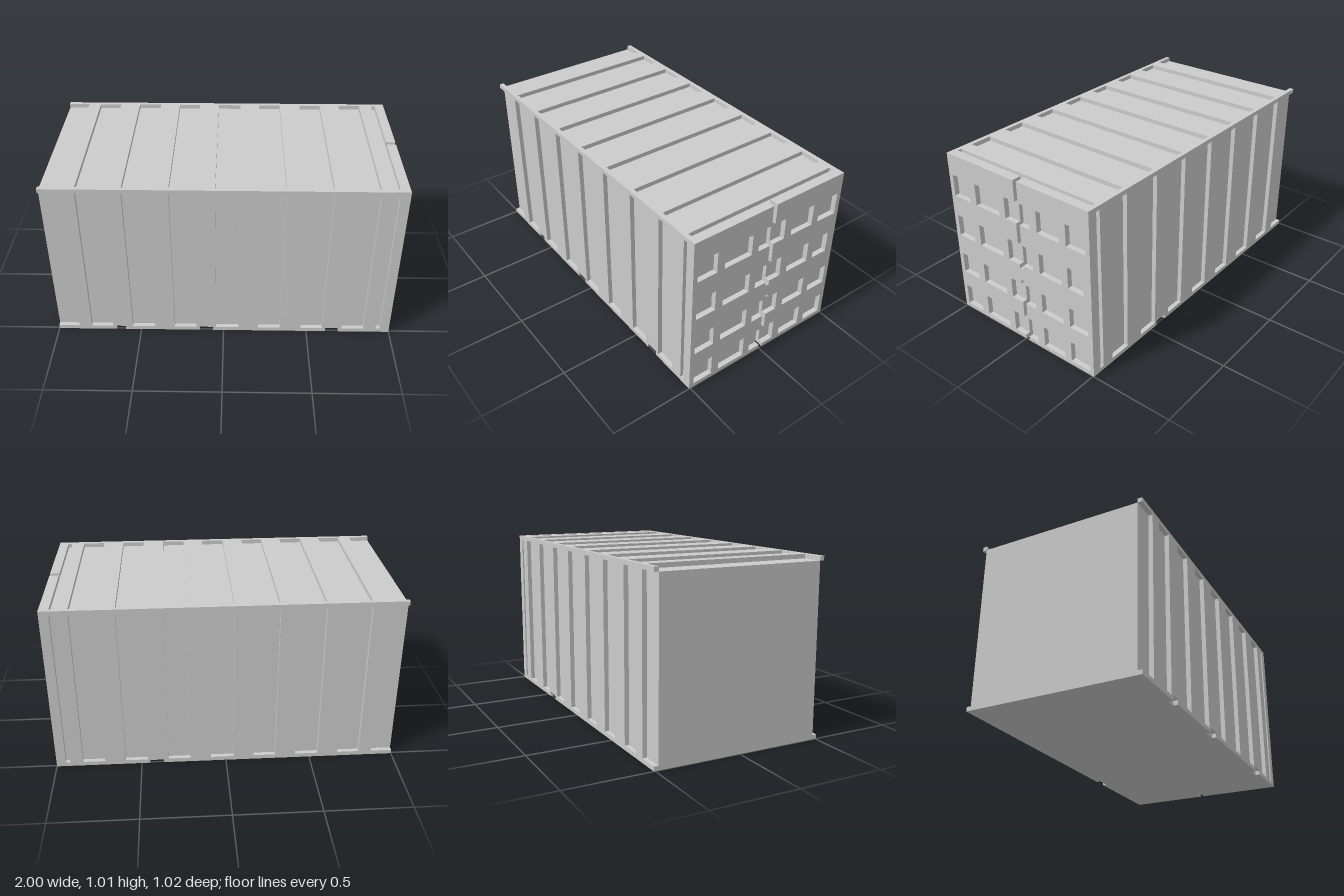
import * as THREE from 'three';

const mat = new THREE.MeshStandardMaterial({ color: 0xcccccc, flatShading: true });
const H = 1.015, FLOOR = 0.99;      // full height, height of the recessed roof
const Z = 0.508, ZIN = 0.482;       // outer and recessed half width
const XCORE = 0.945, XDOOR = 0.97;  // end of the core, back of the window layer

// x ranges of the closed recesses shared by the sides and the roof
const recesses = [[-0.8, -0.67], [-0.55, -0.415], [-0.295, -0.165], [-0.045, 0.09],
  [0.21, 0.34], [0.465, 0.595], [0.715, 0.845], [0.92, 0.945]];
const OPEN = -0.875;                // the first recess runs out at the plain end

const rows = [[0.025, 0.155], [0.255, 0.38], [0.505, 0.635], [0.76, 0.89]];

const polygon = (pts) => new THREE.Shape(pts.map(([x, y]) => new THREE.Vector2(x, y)));

function rectHole(x0, x1, y0, y1) {
  return new THREE.Path([[x0, y0], [x1, y0], [x1, y1], [x0, y1]].map((p) => new THREE.Vector2(...p)));
}

function add(group, name, geometry) {
  const mesh = new THREE.Mesh(geometry, mat);
  mesh.name = name;
  group.add(mesh);
  return mesh;
}

function box(group, name, x0, x1, y0, y1, z0, z1) {
  const mesh = add(group, name, new THREE.BoxGeometry(x1 - x0, y1 - y0, z1 - z0));
  mesh.position.set((x0 + x1) / 2, (y0 + y1) / 2, (z0 + z1) / 2);
}

const extrude = (shape, depth) => new THREE.ExtrudeGeometry(shape, { depth, bevelEnabled: false });

// Ribbed long side with small notches along its bottom edge
function sidePanel(group, name, notches, z) {
  const pts = [[-1, 0]];
  for (const [a, b] of notches) {
    pts.push([a, 0], [a, 0.025], [a + 0.005, 0.03], [b - 0.005, 0.03], [b, 0.025], [b, 0]);
  }
  pts.push([1, 0], [1, H], [-1, H], [-1, FLOOR], [OPEN, FLOOR], [OPEN, 0.025], [-1, 0.025]);
  const shape = polygon(pts);
  for (const [a, b] of recesses) shape.holes.push(rectHole(a, b, 0.025, FLOOR));
  add(group, name, extrude(shape, Z - ZIN)).position.z = z;
}

// Door leaf: the middle windows are cut into its inner edge.
// u runs along -z, from the inner edge to the outer one.
function door(group, name, inner, outer, middle, windows) {
  const pts = [[outer, 0], [inner, 0]];
  for (const [a, b] of rows) pts.push([inner, a], [middle, a], [middle, b], [inner, b]);
  pts.push([inner, H], [outer, H]);
  const shape = polygon(pts);
  rows.forEach(([a, b], i) => {
    for (const w of windows(i)) shape.holes.push(rectHole(w[0], w[1], a, b));
  });
  const mesh = add(group, name, extrude(shape, 1 - XDOOR));
  mesh.rotation.y = Math.PI / 2;
  mesh.position.x = XDOOR;
  // solid backing behind the windows
  box(group, name + 'Backing', XCORE, XDOOR, 0, H, -Math.max(inner, outer), -Math.min(inner, outer));
}

export function createModel() {
  const group = new THREE.Group();
  group.name = 'container';

  box(group, 'core', -1, XCORE, 0, FLOOR, -ZIN, ZIN);

  // Long sides
  sidePanel(group, 'frontSide', [[-0.65, -0.595], [-0.145, -0.065], [0.615, 0.695]], ZIN);
  sidePanel(group, 'backSide', [[0.37, 0.45]], -Z);

  // Roof ribs fill the spaces between the recesses
  let start = OPEN;
  for (const [a, b] of recesses) {
    box(group, 'roofRib', start, a, FLOOR, H, -ZIN, ZIN);
    start = b;
  }

  // Windowed end: two leaves with a slot between them, joined by a latch
  door(group, 'frontDoor', 0, -ZIN, -0.08, () => [[-0.305, -0.125], [-0.48, -0.355]]);
  door(group, 'backDoor', 0.025, ZIN, 0.10,
    (i) => [[0.15, 0.305], [0.35, i === 2 ? 0.455 : 0.48]]);
  box(group, 'latch', XDOOR, 1, 0.405, 0.48, -0.025, 0);

  return group;
}
